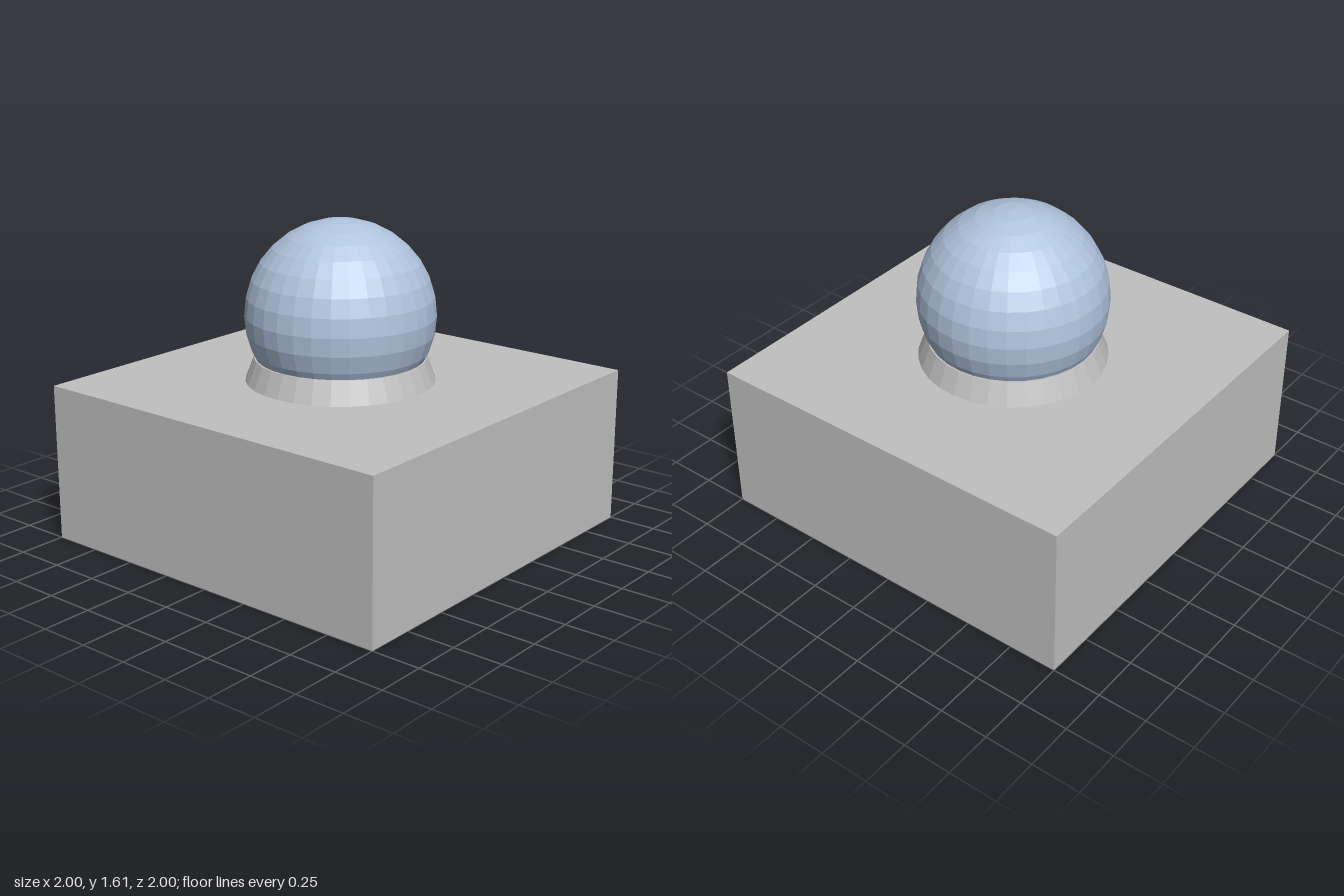
import * as THREE from 'three';

export function createModel() {
  const model = new THREE.Group();
  const stone = new THREE.MeshStandardMaterial({ color: 0xc0c0c0, flatShading: true });
  stone.name = 'silver grey';
  const blue = new THREE.MeshStandardMaterial({ color: 0xb0c4de, flatShading: true });
  blue.name = 'pale steel blue';

  const add = (name, geometry, material, y) => {
    const mesh = new THREE.Mesh(geometry, material);
    mesh.name = name;
    mesh.position.y = y;
    model.add(mesh);
  };

  // Square block, tapered seat and the ball resting in it
  add('base', new THREE.BoxGeometry(2, 0.8, 2), stone, 0.4);
  add('collar', new THREE.CylinderGeometry(0.43, 0.475, 0.115, 32), stone, 0.8575);
  add('ball', new THREE.SphereGeometry(0.475, 32, 16), blue, 1.13);

  return model;
}
